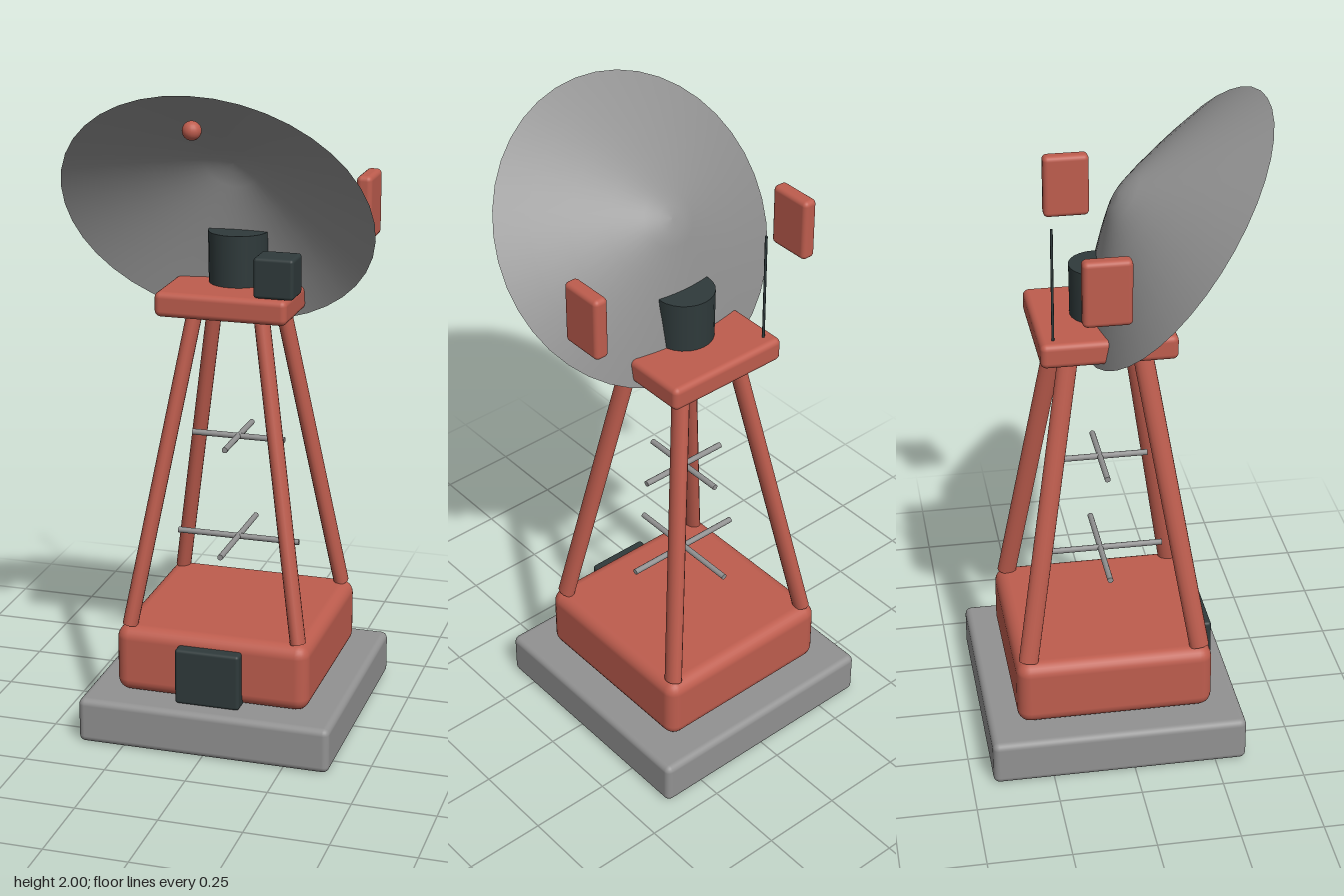
import * as THREE from 'three';
import { RoundedBoxGeometry } from 'three/addons/geometries/RoundedBoxGeometry.js';

const material = (name, color, side = THREE.FrontSide) => {
  const m = new THREE.MeshStandardMaterial({ color, side });
  m.name = name;
  return m;
};

export function createModel() {
  const red = material('brick red', 0xbe5d4e);
  const grey = material('concrete grey', 0x929292, THREE.DoubleSide);
  const dark = material('dark slate', 0x2f3a3b);
  const model = new THREE.Group();
  const cz = -0.045; // tower axis in z

  const add = (name, geometry, mat, x, y, z) => {
    const mesh = new THREE.Mesh(geometry, mat);
    mesh.name = name;
    mesh.position.set(x, y, z);
    model.add(mesh);
    return mesh;
  };
  const box = (name, mat, w, h, d, r, x, y, z) =>
    add(name, new RoundedBoxGeometry(w, h, d, 3, r), mat, x, y, z);

  // Foundation, equipment house and door
  box('foundation', grey, 0.78, 0.14, 0.78, 0.02, 0, 0.07, cz);
  box('house', red, 0.6, 0.21, 0.6, 0.04, 0, 0.245, cz);
  box('door', dark, 0.2, 0.175, 0.06, 0.01, 0, 0.228, 0.26);

  // Four leaning legs
  for (const sx of [-1, 1]) {
    for (const sz of [-1, 1]) {
      const foot = new THREE.Vector3(sx * 0.262, 0.35, cz + sz * 0.262);
      const head = new THREE.Vector3(sx * 0.1, 1.31, cz + sz * 0.105);
      const span = head.clone().sub(foot);
      const mid = foot.clone().add(head).multiplyScalar(0.5);
      const leg = add('leg', new THREE.CylinderGeometry(1, 1, 1, 16), red, mid.x, mid.y, mid.z);
      leg.scale.set(0.023, span.length(), 0.03);
      leg.quaternion.setFromUnitVectors(new THREE.Vector3(0, 1, 0), span.normalize());
    }
  }

  // Crossed braces at two heights
  for (const [y, length] of [[0.567, 0.385], [0.89, 0.29]]) {
    const rod = new THREE.CylinderGeometry(0.009, 0.009, length, 10);
    add('brace', rod, grey, 0, y, cz).rotation.z = Math.PI / 2;
    add('brace', rod, grey, 0, y, cz).rotation.x = Math.PI / 2;
  }

  // Top platform with its equipment
  box('platform', red, 0.4, 0.075, 0.4, 0.018, 0, 1.335, cz);
  add('dishMount', new THREE.CylinderGeometry(0.09, 0.088, 0.155, 24), dark, 0, 1.45, cz);
  box('controlBox', dark, 0.12, 0.12, 0.1, 0.01, 0.16, 1.435, 0.1);
  add('whipAntenna', new THREE.CylinderGeometry(0.004, 0.004, 0.35, 8), dark, -0.163, 1.54, -0.205);

  // Tilted dish, opening forward and down
  const profile = [[0, 0.2], [0.04, 0.197], [0.08, 0.182], [0.17, 0.143], [0.27, 0.096], [0.37, 0.047], [0.46, 0]]
    .map(([r, h]) => new THREE.Vector2(r, h));
  add('dish', new THREE.LatheGeometry(profile.reverse(), 40), grey, 0, 1.6225, 0.1725).rotation.x = -0.9635;
  add('feed', new THREE.SphereGeometry(0.027, 20, 14), red, 0, 1.9, 0.4);

  // Sector panels on both sides
  for (const s of [-1, 1]) {
    box('sectorPanel', red, 0.046, 0.195, 0.14, 0.015, s * 0.382, 1.617, -0.085);
  }
  return model;
}
